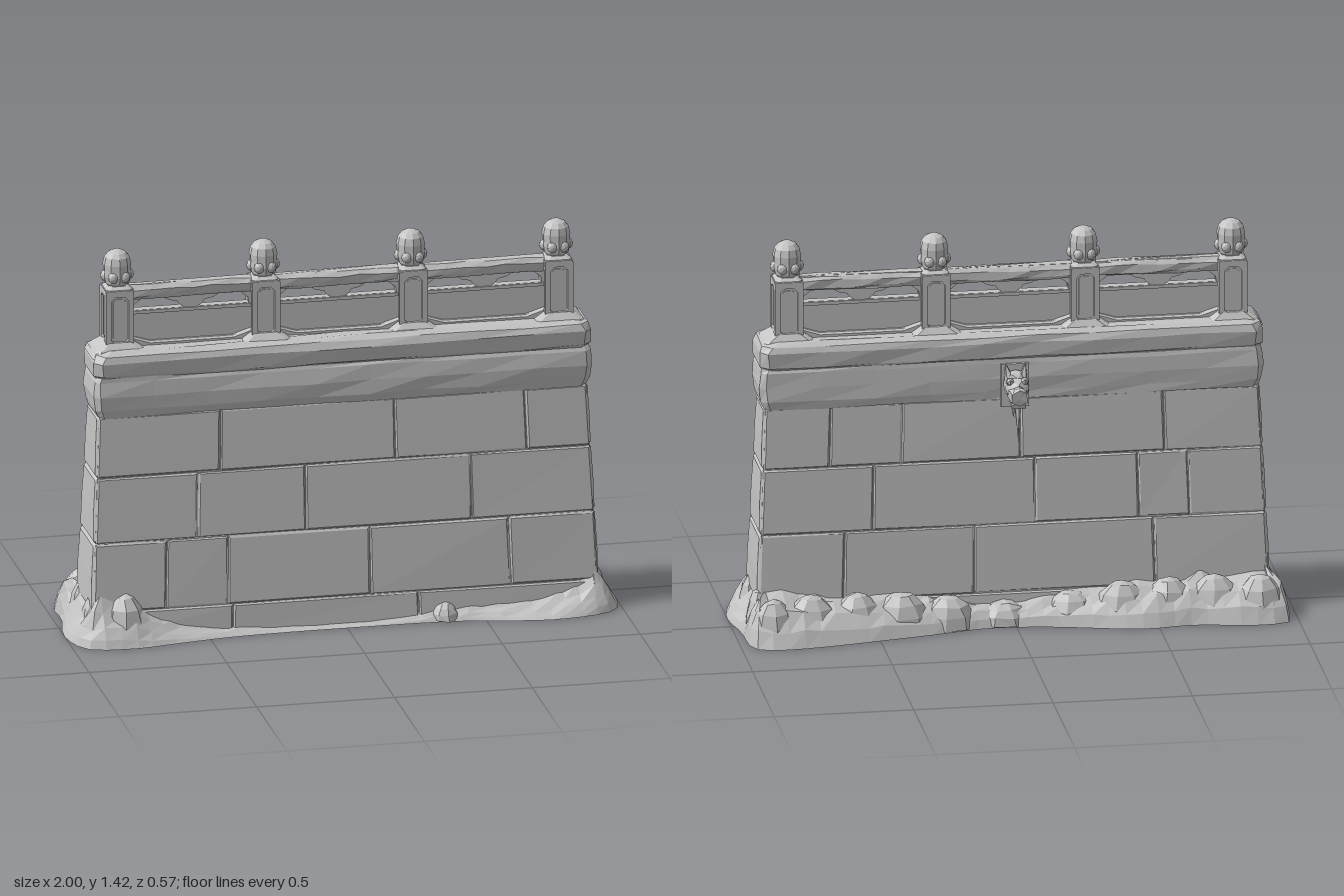
import * as THREE from 'three';

const stone = new THREE.MeshStandardMaterial({ color: 0xc4c4c4, side: THREE.DoubleSide });
stone.name = 'pale stone';

// Repeatable offset in -1..1 that depends only on position, so seams stay closed
const noise = (x, y, z, k) => {
  const q = (v) => Math.round(v * 500);
  const s = Math.sin(q(x) * 12.9898 + q(y) * 78.233 + q(z) * 37.719 + k * 11.13) * 43758.5453;
  return (s - Math.floor(s)) * 2 - 1;
};

// Roughens a geometry and gives it faceted normals
function chisel(geo, amount = 0) {
  const g = geo.index ? geo.toNonIndexed() : geo;
  const p = g.attributes.position;
  for (let i = 0; i < p.count; i++) {
    const x = p.getX(i), y = p.getY(i), z = p.getZ(i);
    p.setXYZ(i, x + amount * noise(x, y, z, 1), y + amount * noise(x, y, z, 2), z + amount * noise(x, y, z, 3));
  }
  g.computeVertexNormals();
  return g;
}

function add(parent, name, geo, x = 0, y = 0, z = 0, amount = 0) {
  const m = new THREE.Mesh(chisel(geo, amount), stone);
  m.name = name;
  m.position.set(x, y, z);
  parent.add(m);
  return m;
}

// Skin over a stack of closed rings, ordered +x, +z, -x, -z
function loft(rings, capped) {
  const n = rings[0].length, v = rings.flat().flatMap((p) => [p.x, p.y, p.z]), idx = [];
  for (let r = 0; r < rings.length - 1; r++) {
    for (let i = 0; i < n; i++) {
      const a = r * n + i, b = r * n + (i + 1) % n;
      idx.push(a, a + n, b, b, a + n, b + n);
    }
  }
  if (capped) {
    const top = (rings.length - 1) * n;
    for (let i = 1; i < n - 1; i++) idx.push(0, i, i + 1, top, top + i + 1, top + i);
  }
  const g = new THREE.BufferGeometry();
  g.setAttribute('position', new THREE.Float32BufferAttribute(v, 3));
  g.setIndex(idx);
  return g;
}

// Rectangle with clipped corners and divided long sides
function slabRing([y, hx, zf, zb], cut = 0.02, div = 9) {
  const P = (x, z) => new THREE.Vector3(x, y, z), ring = [P(hx, zb + cut), P(hx, zf - cut)];
  for (let i = 0; i <= div; i++) ring.push(P((hx - cut) * (1 - 2 * i / div), zf));
  ring.push(P(-hx, zf - cut), P(-hx, zb + cut));
  for (let i = 0; i <= div; i++) ring.push(P((hx - cut) * (2 * i / div - 1), zb));
  return ring;
}

// Batter of the wall faces
const halfLength = (y) => 0.925 - 0.043 * y;
const frontZ = (y) => 0.195 - 0.067 * y;
const backZ = (y) => -0.1 + 0.061 * y;

// Thin facing stone laid on the front or back of the core
function block(x0, x1, y0, y1, back) {
  const gap = 0.002, s = new THREE.Shape();
  const [a, b] = back ? [-x1, -x0] : [x0, x1];
  s.moveTo(a + gap, y0 + gap).lineTo(b - gap, y0 + gap).lineTo(b - gap, y1 - gap).lineTo(a + gap, y1 - gap);
  const g = new THREE.ExtrudeGeometry(s, { depth: 0.006, bevelThickness: 0.005, bevelSize: 0.005, bevelOffset: -0.005, bevelSegments: 1 });
  const p = g.attributes.position;
  for (let i = 0; i < p.count; i++) {
    const y = p.getY(i);
    p.setX(i, p.getX(i) * (halfLength(y) - 0.004) / 0.9);
    p.setZ(i, p.getZ(i) - 0.011 + (back ? -backZ(y) : frontZ(y)));
  }
  return back ? g.rotateY(Math.PI) : g;
}

function buildWall(root) {
  const wall = new THREE.Group();
  wall.name = 'wall';
  const levels = [0, 0.11, 0.36, 0.6, 0.825];
  // Open core whose ends show one bevelled stone per course
  const core = levels.slice(0, 4).flatMap((y0, r) => {
    const y1 = levels[r + 1];
    return [[y0, 0.01], [y0 + 0.01, 0], [(y0 + y1) / 2, -0.002], [y1 - 0.01, 0], [y1, 0.01]].map(
      ([y, inset]) => slabRing([y, halfLength(y) - inset, frontZ(y) - 0.008, backZ(y) + 0.008], 0.008));
  });
  add(wall, 'wallCore', loft(core, false));
  const joints = [
    [[-0.4, 0.26], [-0.64, -0.42, 0.09, 0.59], [-0.53, -0.14, 0.46], [-0.45, 0.19, 0.67]],
    [[-0.3, 0.35], [-0.5, 0.14, 0.6], [-0.63, -0.45, -0.08, 0.5], [-0.55, -0.03, 0.4, 0.66]],
  ];
  joints.forEach((side, back) => side.forEach((row, r) => {
    const xs = [-0.9, ...row, 0.9];
    for (let i = 0; i < xs.length - 1; i++) {
      add(wall, back ? 'backBlock' : 'frontBlock', block(xs[i], xs[i + 1], levels[r], levels[r + 1], back), 0, 0, 0, 0.0015);
    }
  }));
  // Cornice and weathered coping: y, half length, front z, back z
  const cornice = [[0.82, 0.886, 0.14, -0.052], [0.85, 0.898, 0.15, -0.056], [0.9, 0.905, 0.154, -0.058], [0.955, 0.9, 0.15, -0.056], [0.97, 0.894, 0.145, -0.052]];
  const coping = [[0.968, 0.892, 0.145, -0.05], [0.977, 0.902, 0.155, -0.058], [1.03, 0.904, 0.163, -0.062], [1.054, 0.892, 0.152, -0.054], [1.066, 0.865, 0.128, -0.032]];
  add(wall, 'cornice', loft(cornice.map((c) => slabRing(c)), true), 0, 0, 0, 0.003);
  add(wall, 'coping', loft(coping.map((c) => slabRing(c, 0.03)), true), 0, 0, 0, 0.003);
  root.add(wall);
}

// Upright octagon used for recessed post panels
function octagon(path, w, h, c) {
  path.moveTo(-w + c, -h).lineTo(w - c, -h).lineTo(w, -h + c).lineTo(w, h - c).lineTo(w - c, h);
  return path.lineTo(-w + c, h).lineTo(-w, h - c).lineTo(-w, -h + c).closePath();
}

function buildPost(parent, x) {
  const post = new THREE.Group();
  post.name = 'post';
  post.position.set(x, 0, 0.047);
  add(post, 'postCore', new THREE.BoxGeometry(0.08, 0.22, 0.088), 0, 1.165);
  for (let i = 0; i < 4; i++) {
    const w = i % 2 ? 0.054 : 0.05, out = i % 2 ? 0.04 : 0.044;
    const frame = octagon(new THREE.Shape(), w, 0.11, 0.006);
    frame.holes.push(octagon(new THREE.Path(), 0.031, 0.087, 0.014));
    const side = new THREE.Group();
    side.name = 'postFace';
    side.rotation.y = i * Math.PI / 2;
    add(side, 'postFrame', new THREE.ExtrudeGeometry(frame, { depth: 0.011, bevelEnabled: false }), 0, 1.17, out);
    add(side, 'postPanel', new THREE.ExtrudeGeometry(octagon(new THREE.Shape(), 0.023, 0.078, 0.01), { depth: 0.004, bevelEnabled: false }), 0, 1.17, out);
    post.add(side);
  }
  add(post, 'postFoot', loft([[1.04, 0.105, 0.085, -0.08], [1.065, 0.085, 0.075, -0.072], [1.088, 0.052, 0.056, -0.056]].map((r) => slabRing(r, 0.015, 2)), true));
  add(post, 'postCap', loft([[1.27, 0.05, 0.054, -0.054], [1.282, 0.048, 0.05, -0.05], [1.292, 0.036, 0.036, -0.036]].map((r) => slabRing(r, 0.012, 1)), true));
  // Bud finial with a collar of petals
  const profile = [[0.03, 1.285], [0.045, 1.3], [0.051, 1.325], [0.05, 1.345], [0.051, 1.37], [0.045, 1.395], [0.032, 1.411], [0.015, 1.419], [0, 1.421]];
  add(post, 'finial', new THREE.LatheGeometry(profile.map(([r, y]) => new THREE.Vector2(r, y)), 10));
  for (let i = 0; i < 6; i++) {
    const a = i * Math.PI / 3;
    add(post, 'petal', new THREE.IcosahedronGeometry(0.02, 1).scale(1, 1.1, 0.9), 0.041 * Math.cos(a), 1.326, 0.041 * Math.sin(a));
  }
  parent.add(post);
}

// Railing bay: pierced slab with a bracket, raised frame and a top rail
function buildBay(parent, x, w) {
  const bay = new THREE.Group();
  bay.name = 'railingBay';
  bay.position.set(x, 0, 0.047);
  const h = w / 2, slab = new THREE.Shape();
  slab.moveTo(-h, 1.05).lineTo(h, 1.05).lineTo(h, 1.25).lineTo(-h, 1.25);
  for (const s of [-1, 1]) {
    const hole = new THREE.Path();
    hole.moveTo(s * 0.025, 1.192).lineTo(s * (h - 0.01), 1.192).lineTo(s * (h - 0.012), 1.212).lineTo(s * (h - 0.04), 1.234);
    hole.lineTo(s * 0.1, 1.234).lineTo(s * 0.08, 1.222).lineTo(s * 0.05, 1.216).lineTo(s * 0.042, 1.204).closePath();
    slab.holes.push(hole);
  }
  add(bay, 'piercedPanel', new THREE.ExtrudeGeometry(slab, { depth: 0.03, bevelEnabled: false }), 0, 0, -0.015);
  const rail = loft([[1.236, h, 0.024, -0.024], [1.246, h, 0.03, -0.03], [1.272, h, 0.03, -0.03], [1.286, h, 0.018, -0.018]].map((r) => slabRing(r, 0.004, 6)), true);
  add(bay, 'topRail', rail, 0, 0, 0, 0.004);
  add(bay, 'middleRail', new THREE.BoxGeometry(w, 0.012, 0.042), 0, 1.185);
  // Sagging sill with raised ends
  const sill = new THREE.Shape();
  sill.moveTo(-h, 1.05).lineTo(h, 1.05).lineTo(h, 1.1).lineTo(h - 0.07, 1.078).lineTo(-h + 0.07, 1.078).lineTo(-h, 1.1);
  add(bay, 'sill', new THREE.ExtrudeGeometry(sill, { depth: 0.05, bevelThickness: 0.008, bevelSize: 0.006, bevelOffset: -0.006, bevelSegments: 1 }), 0, 0, -0.025);
  parent.add(bay);
}

// Beast head spout on the back with hanging icicles
function buildSpout(root) {
  const spout = new THREE.Group();
  spout.name = 'beastSpout';
  spout.position.x = -0.008;
  add(spout, 'spoutPlate', new THREE.BoxGeometry(0.1, 0.16, 0.03), 0, 0.875, -0.052);
  add(spout, 'neck', new THREE.IcosahedronGeometry(0.046, 1).scale(1, 1.15, 0.9), 0, 0.885, -0.08, 0.004);
  add(spout, 'head', new THREE.IcosahedronGeometry(0.04, 1).scale(1.05, 0.9, 1.1), 0, 0.88, -0.112, 0.004);
  const snout = add(spout, 'snout', new THREE.CylinderGeometry(0.031, 0.038, 0.07, 6), 0, 0.865, -0.143, 0.003);
  snout.rotation.x = -Math.PI / 2 - 0.1;
  add(spout, 'nose', new THREE.IcosahedronGeometry(0.022, 0).scale(1.3, 0.8, 0.8), 0, 0.88, -0.165);
  const jaw = add(spout, 'lowerJaw', new THREE.BoxGeometry(0.05, 0.016, 0.06), 0, 0.832, -0.132, 0.002);
  jaw.rotation.x = -0.2;
  for (const s of [-1, 1]) {
    const ear = add(spout, 'ear', new THREE.ConeGeometry(0.018, 0.06, 5), s * 0.03, 0.935, -0.085);
    ear.rotation.set(0.25, 0, -s * 0.2);
    add(spout, 'brow', new THREE.IcosahedronGeometry(0.016, 0), s * 0.026, 0.907, -0.122);
  }
  for (const [x, y, z, r, len] of [[0, 0.763, -0.14, 0.015, 0.15], [0.015, 0.805, -0.125, 0.009, 0.06]]) {
    add(spout, 'icicle', new THREE.ConeGeometry(r, len, 6, 3).rotateX(Math.PI), x, y, z, 0.0015);
  }
  root.add(spout);
}

// Drift of rubble round the foot; each point is x, crest height, z
function buildMound(root) {
  const outline = [
    [1, 0.12, 0.08], [0.97, 0.14, 0.22], [0.75, 0.06, 0.28], [0.4, 0.05, 0.225], [0.05, 0.018, 0.215], [-0.4, 0.03, 0.225],
    [-0.62, 0.06, 0.255], [-0.78, 0.14, 0.28], [-0.95, 0.15, 0.25], [-1, 0.13, 0.1], [-0.97, 0.13, -0.1], [-0.965, 0.14, -0.25], [-0.85, 0.14, -0.27],
    [-0.62, 0.13, -0.235], [-0.45, 0.12, -0.25], [-0.1, 0.08, -0.175], [0.1, 0.07, -0.16], [0.35, 0.1, -0.21],
    [0.85, 0.14, -0.285], [0.95, 0.14, -0.26], [0.975, 0.13, -0.06],
  ].map((p) => new THREE.Vector3(...p));
  const pts = new THREE.CatmullRomCurve3(outline, true).getSpacedPoints(84).slice(0, 84);
  // Inward step, height on the gentle front, height on the steep back
  const steps = [[0, 0, 0], [0.12, 0.2, 0.42], [0.35, 0.45, 0.8], [0.65, 0.75, 1], [1, 1.08, 1.08]];
  const rings = steps.map(([t, gentle, steep]) => pts.map((p) => {
    const x = THREE.MathUtils.lerp(p.x, THREE.MathUtils.clamp(p.x, -0.9, 0.9), t);
    const z = THREE.MathUtils.lerp(p.z, THREE.MathUtils.clamp(p.z, -0.08, 0.178), t);
    return new THREE.Vector3(x, p.y * (p.z < -0.12 ? steep : gentle) * (1 + 0.14 * noise(p.x, t, p.z, 5)), z);
  }));
  add(root, 'footMound', loft(rings, false));
  // Half-buried boulders: x, z, length, crest height
  const boulders = [
    [-0.87, -0.18, 0.1, 0.155], [-0.71, -0.15, 0.11, 0.155], [-0.55, -0.14, 0.1, 0.15], [-0.38, -0.14, 0.11, 0.145], [-0.2, -0.11, 0.1, 0.11],
    [0.04, -0.1, 0.1, 0.08], [0.24, -0.12, 0.1, 0.115], [0.41, -0.13, 0.11, 0.14], [0.57, -0.14, 0.1, 0.15], [0.74, -0.16, 0.11, 0.155], [0.88, -0.19, 0.085, 0.155],
    [0.91, -0.07, 0.055, 0.16], [0.9, 0.13, 0.06, 0.155], [-0.9, 0.12, 0.06, 0.15], [-0.9, -0.06, 0.055, 0.15], [-0.8, 0.18, 0.085, 0.17], [0.36, 0.19, 0.05, 0.06],
  ];
  for (const [x, z, r, h] of boulders) {
    // Domes only, left open underneath
    const g = new THREE.SphereGeometry(1, 8, 4, 0, Math.PI * 2, 0, Math.PI / 2).rotateY(x * 9).scale(r, h, Math.min(r, 0.075));
    add(root, 'boulder', g, x, 0.004, z, 0.003);
  }
}

export function createModel() {
  const root = new THREE.Group();
  root.name = 'battlementWall';
  buildWall(root);
  const railing = new THREE.Group();
  railing.name = 'railing';
  const posts = [-0.8, -0.27, 0.265, 0.793];
  posts.forEach((x, i) => {
    buildPost(railing, x);
    if (i) buildBay(railing, (x + posts[i - 1]) / 2, x - posts[i - 1] - 0.09);
  });
  root.add(railing);
  buildSpout(root);
  buildMound(root);
  return root;
}
